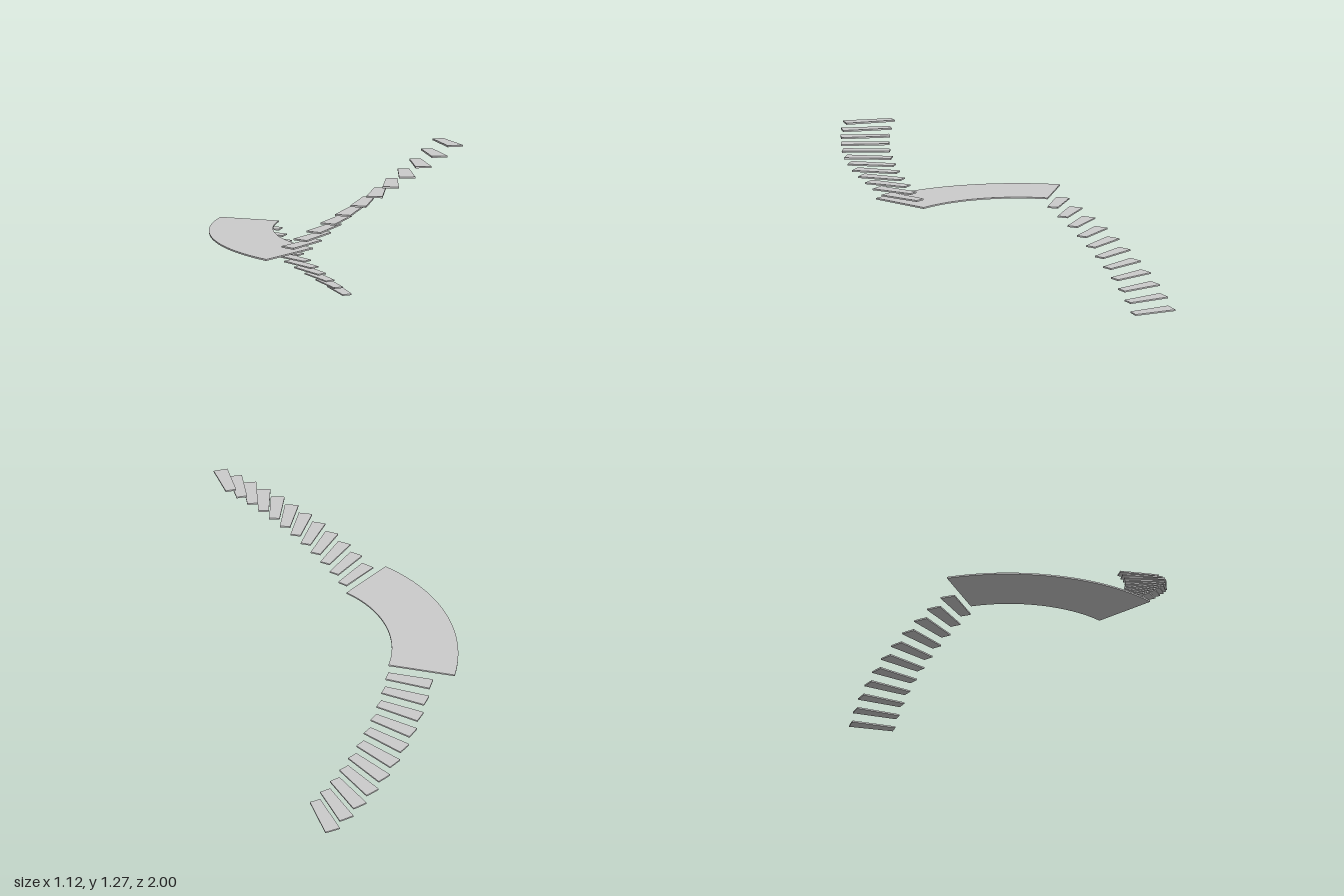
import * as THREE from 'three';
import { toCreasedNormals } from 'three/addons/utils/BufferGeometryUtils.js';

const CENTRE_X = 0.5625;   // axis of the curved flight
const INNER = 0.735, OUTER = 1.0, LANDING_OUTER = 1.125;
const THICK = 0.009, RISE = 0.0548;
const STEP = 5;            // degrees per tread
const LOWER = 11, UPPER = 12, LANDING_ANGLE = 65;

const material = new THREE.MeshStandardMaterial({ color: 0xcccccc });

// Flat ring sector; angles in degrees run from the back (-z) round through -x to the front
function sector(name, outer, from, to, level, segments) {
  const a = THREE.MathUtils.degToRad(90 + from);
  const b = THREE.MathUtils.degToRad(90 + to);
  const shape = new THREE.Shape();
  shape.absarc(0, 0, outer, a, b, false);
  shape.absarc(0, 0, INNER, b, a, true);
  shape.closePath();
  const geometry = new THREE.ExtrudeGeometry(shape, {
    depth: THICK, bevelEnabled: false, curveSegments: segments,
  });
  geometry.rotateX(-Math.PI / 2);
  const mesh = new THREE.Mesh(toCreasedNormals(geometry, Math.PI / 6), material);
  mesh.name = name;
  mesh.position.set(CENTRE_X, level * RISE, 0);
  return mesh;
}

export function createModel() {
  const model = new THREE.Group();
  model.name = 'curvedStaircase';

  // Lower flight climbs from the back
  const lower = new THREE.Group();
  lower.name = 'lowerFlight';
  for (let i = 0; i < LOWER; i++) {
    lower.add(sector('lowerTread' + (i + 1), OUTER, i * STEP, (i + 1) * STEP, i, 3));
  }

  // Wide landing
  const start = LOWER * STEP, end = start + LANDING_ANGLE;
  const landing = sector('landing', LANDING_OUTER, start, end, LOWER, 40);

  // Upper flight ends at the front
  const upper = new THREE.Group();
  upper.name = 'upperFlight';
  for (let i = 0; i < UPPER; i++) {
    const a = end + i * STEP;
    upper.add(sector('upperTread' + (i + 1), OUTER, a, a + STEP, LOWER + 1 + i, 3));
  }

  model.add(lower, landing, upper);
  return model;
}
